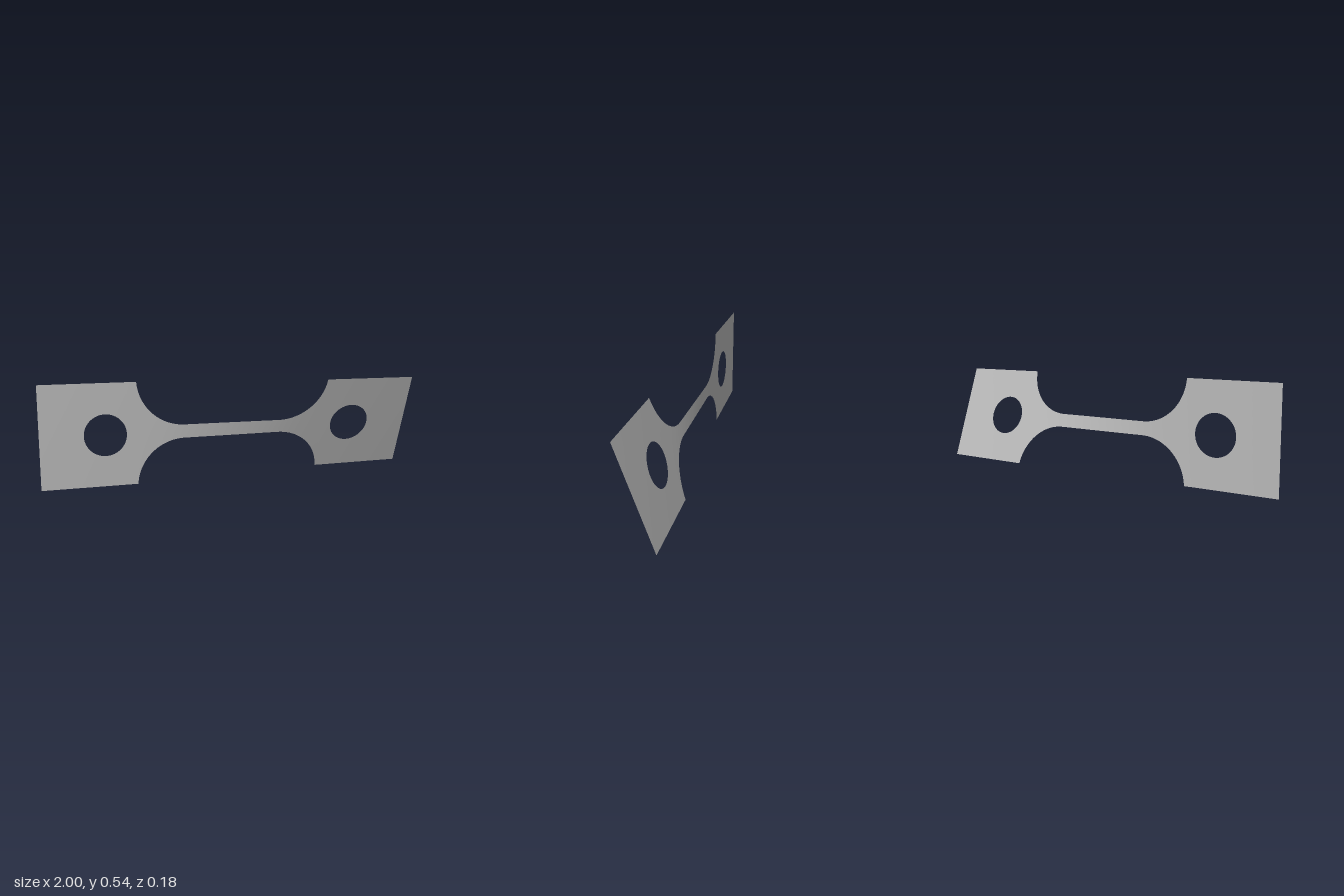
import * as THREE from 'three';

const MID_Y = 0.27;          // height of the twist axis
const HALF_GRIP = 0.27;      // half height of the end plates
const HALF_NECK = 0.036;     // half height of the slim middle
const FILLET_R = 0.25, GRIP_X = 0.508, NECK_X = GRIP_X - FILLET_R;
const HOLE_X = 0.67, HOLE_R = 0.109;
const TWIST = THREE.MathUtils.degToRad(20);

// Half height of the flat outline at x
function halfHeight(x) {
  const a = Math.abs(x);
  if (a >= GRIP_X) return HALF_GRIP;
  if (a <= NECK_X) return HALF_NECK;
  const d = a - NECK_X;
  return Math.min(HALF_GRIP, HALF_NECK + FILLET_R - Math.sqrt(FILLET_R ** 2 - d * d));
}

function holeHalf(x) {
  const d = Math.abs(x) - HOLE_X;
  return Math.sqrt(Math.max(0, HOLE_R ** 2 - d * d));
}

// Twist builds up in inverse proportion to the width
const STEPS = 800, twist = [0];
for (let i = 0; i < STEPS; i++) {
  twist.push(twist[i] + 1 / halfHeight(-1 + (2 * (i + 0.5)) / STEPS));
}
function angleAt(x) {
  const t = THREE.MathUtils.clamp((x + 1) / 2, 0, 1) * STEPS;
  const i = Math.min(STEPS - 1, Math.floor(t));
  return (TWIST * THREE.MathUtils.lerp(twist[i], twist[i + 1], t - i)) / twist[STEPS];
}

// Grid between two edge curves, turned about the x axis
function sheet(xAt, low, high, columns, rows) {
  const geo = new THREE.PlaneGeometry(1, 1, columns, rows);
  const pos = geo.attributes.position;
  for (let i = 0; i < pos.count; i++) {
    const x = xAt(pos.getX(i) + 0.5);
    const v = THREE.MathUtils.lerp(low(x), high(x), pos.getY(i) + 0.5);
    const a = angleAt(x);
    pos.setXYZ(i, x, MID_Y + v * Math.cos(a), v * Math.sin(a));
  }
  geo.computeVertexNormals();
  return geo;
}

export function createModel() {
  const steel = new THREE.MeshStandardMaterial({ color: 0xb8b8b8, side: THREE.DoubleSide });
  steel.name = 'steel grey';
  const model = new THREE.Group();
  model.name = 'twistedTestStrip';

  const top = halfHeight, bottom = (x) => -halfHeight(x);
  const linear = (a, b) => (t) => a + (b - a) * t;
  const add = (parent, name, ...args) => {
    const mesh = new THREE.Mesh(sheet(...args), steel);
    mesh.name = name;
    parent.add(mesh);
  };

  // Slim middle
  add(model, 'neck', linear(-NECK_X, NECK_X), bottom, top, 48, 4);

  for (const [side, s] of [['right', -1], ['left', 1]]) {
    // Keep x rising from left to right so that all faces point forwards
    const span = (f) => (s > 0 ? f : (t) => -f(1 - t));

    // Rounded shoulder, with columns evenly spaced along the arc
    add(model, side + 'Shoulder',
      span((t) => NECK_X + FILLET_R * Math.sin((t * Math.PI) / 2)), bottom, top, 40, 12);

    // End plate with a round hole
    const grip = new THREE.Group();
    grip.name = side + 'Grip';
    model.add(grip);
    add(grip, 'innerPlate', span(linear(GRIP_X, HOLE_X - HOLE_R)), bottom, top, 4, 8);
    add(grip, 'outerPlate', span(linear(HOLE_X + HOLE_R, 1)), bottom, top, 8, 8);
    const aroundHole = span((t) => HOLE_X - HOLE_R * Math.cos(t * Math.PI));
    add(grip, 'plateAboveHole', aroundHole, holeHalf, top, 32, 4);
    add(grip, 'plateBelowHole', aroundHole, bottom, (x) => -holeHalf(x), 32, 4);
  }
  return model;
}
